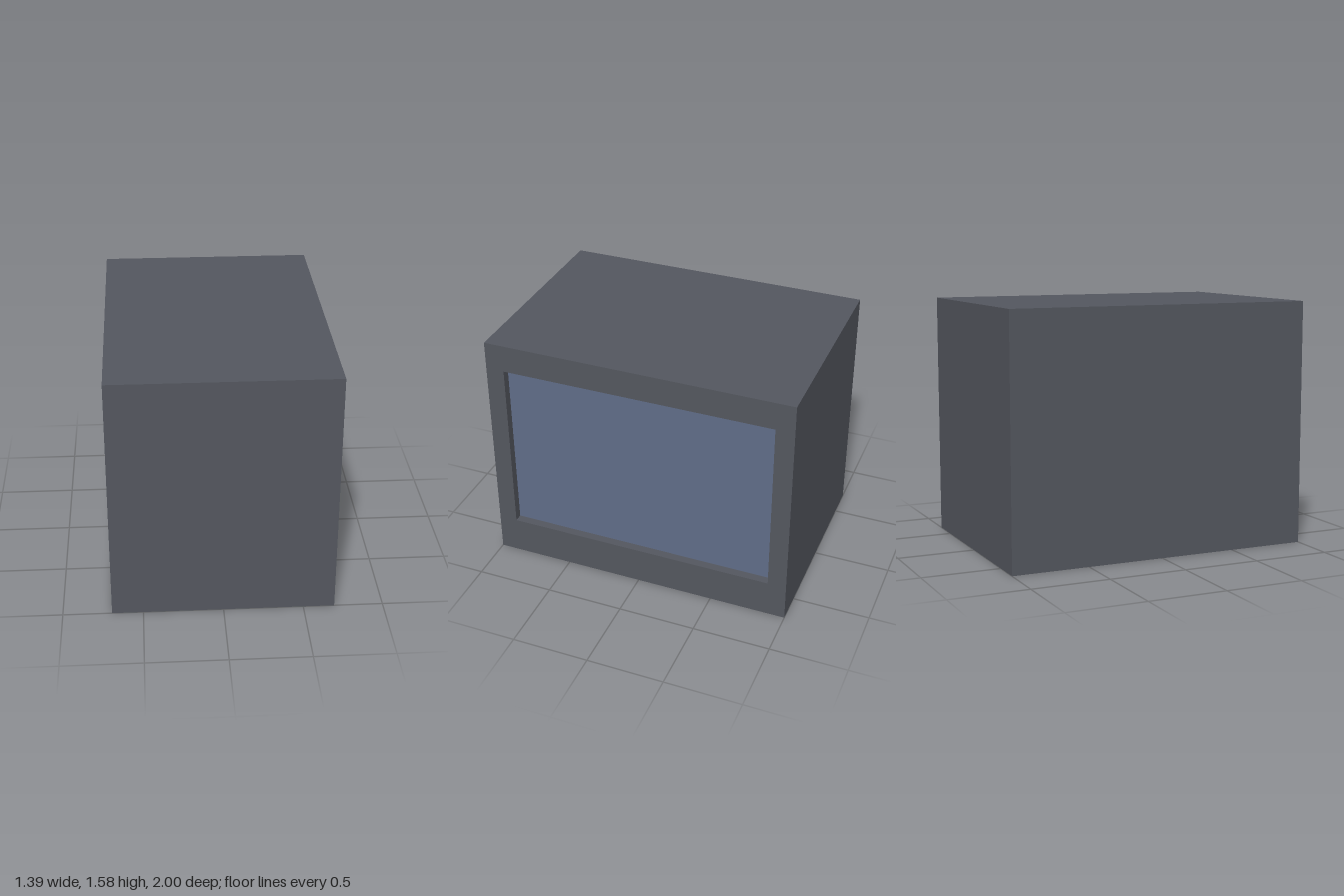
import * as THREE from 'three';

const W = 1.39, H = 1.58, D = 2;        // overall size
const RECESS = 0.06, PANEL = 0.006;     // recess depth, panel thickness
const HOLE = { z: 0.88, y0: 0.245, y1: 1.4 };

export function createModel() {
  const group = new THREE.Group();
  const casing = new THREE.MeshStandardMaterial({ color: 0x54575f });
  casing.name = 'dark grey casing';
  const glass = new THREE.MeshStandardMaterial({ color: 0x606d88 });
  glass.name = 'blue grey screen';

  const add = (name, geometry, material, x, y) => {
    const mesh = new THREE.Mesh(geometry, material);
    mesh.name = name;
    mesh.position.set(x, y, 0);
    group.add(mesh);
    return mesh;
  };

  // Solid body behind the bezel
  const bodyW = W - RECESS;
  add('body', new THREE.BoxGeometry(bodyW, H, D), casing, -RECESS / 2, H / 2);

  // Bezel with a rectangular opening, on the left (+x) side
  const rect = (path, hw, y0, y1) =>
    path.moveTo(-hw, y0).lineTo(hw, y0).lineTo(hw, y1).lineTo(-hw, y1).closePath();
  const outline = rect(new THREE.Shape(), D / 2, 0, H);
  outline.holes.push(rect(new THREE.Path(), HOLE.z, HOLE.y0, HOLE.y1));
  const bezelGeometry = new THREE.ExtrudeGeometry(outline, { depth: RECESS, bevelEnabled: false });
  bezelGeometry.rotateY(Math.PI / 2);
  add('bezel', bezelGeometry, casing, W / 2 - RECESS, 0);

  // Thin screen at the bottom of the recess
  add('screen', new THREE.BoxGeometry(PANEL, HOLE.y1 - HOLE.y0, HOLE.z * 2), glass,
    W / 2 - RECESS + PANEL / 2, (HOLE.y0 + HOLE.y1) / 2);

  return group;
}
